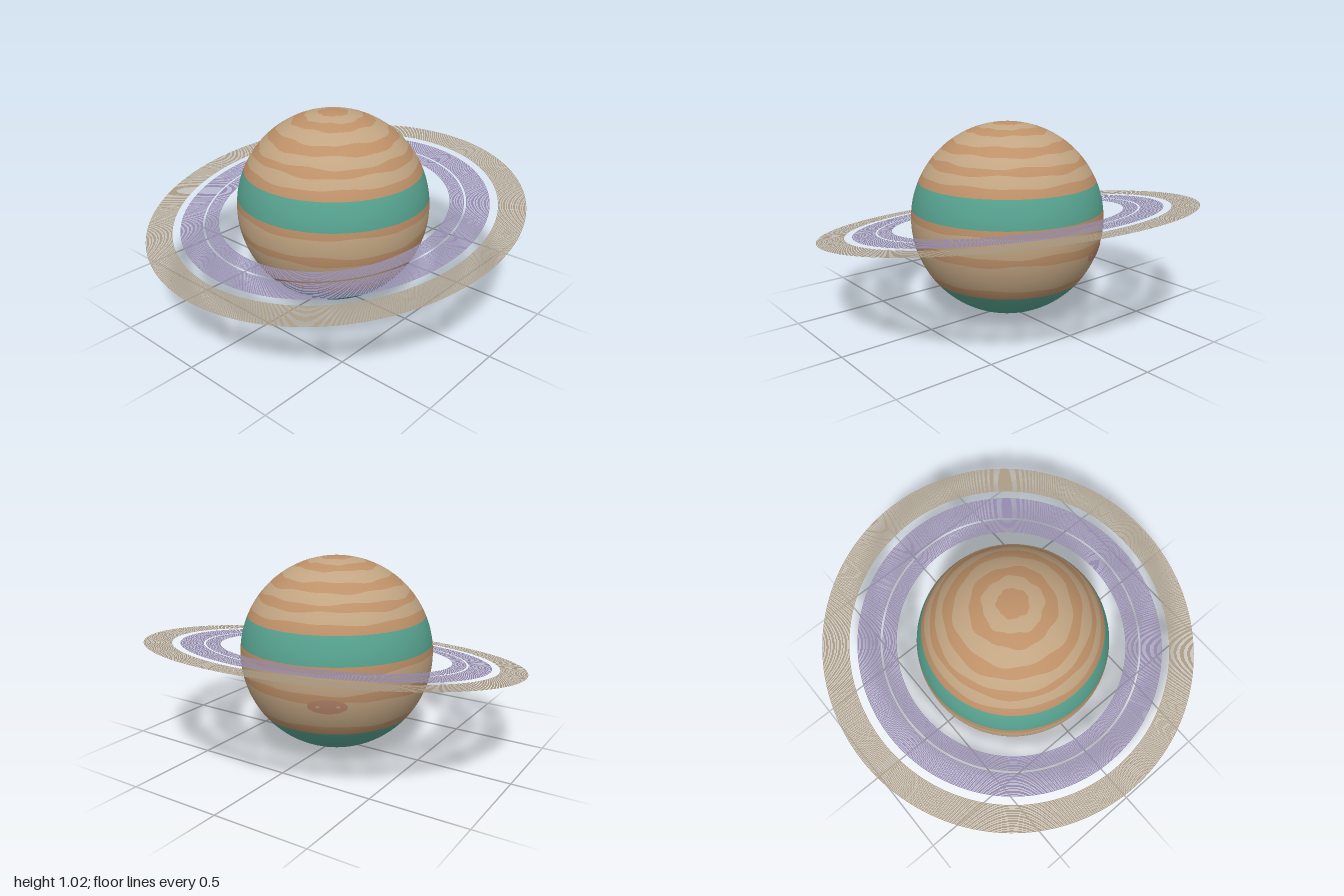
import * as THREE from 'three';

const R = 0.512;        // planet radius, resting on y = 0
const TILT = 0.16;      // ring plane leans up towards +x
const TEAL = 0x57a28f, SAND = 0xc2a582, RUST = 0xbd9068;

// Cloud bands from north to south: [name, colour, height of the lower edge, waviness]
const BANDS = [
  ['polarCap', RUST, 1.018, 0.012],
  ['paleBand', SAND, 1.002, 0.02],
  ['rustBand', RUST, 0.978, 0.02],
  ['paleBand', SAND, 0.935, 0.02],
  ['rustBand', RUST, 0.895, 0.02],
  ['paleBand', SAND, 0.85, 0.02],
  ['rustBand', RUST, 0.815, 0.02],
  ['paleBand', SAND, 0.765, 0.015],
  ['rustBand', RUST, 0.72, 0],
  ['tealBelt', TEAL, 0.578, 0],
  ['rustBand', RUST, 0.54, 0.015],
  ['paleBand', SAND, 0.44, 0.02],
  ['rustBand', RUST, 0.395, 0.02],
  ['paleBand', SAND, 0.25, 0.015],
  ['rustBand', RUST, 0.2, 0],
  ['tealSouthCap', TEAL, 0, 0],
];

// Rings: [name, colour, inner radius, outer radius]
const RINGS = [
  ['innerRing', 0x9389ac, 0.615, 0.69],
  ['middleRing', 0x9389ac, 0.7, 0.82],
  ['outerRing', 0xa99a84, 0.86, 1.0],
];

const onSphere = (theta, lon, r = R) => new THREE.Vector3(
  -r * Math.cos(lon) * Math.sin(theta), r * Math.cos(theta), r * Math.sin(lon) * Math.sin(theta));

// Polar angle of a band edge, rippling gently with longitude
const edgeAngle = (edge, lon) => edge.theta
  + edge.wave * (Math.sin(5 * lon + edge.phase) + 0.6 * Math.sin(11 * lon + 2 * edge.phase)) * 0.6;

function bandMesh([name, color], top, bottom) {
  const rows = Math.max(2, Math.ceil((bottom.theta - top.theta) / 0.05));
  const geo = new THREE.SphereGeometry(R, 96, rows, 0, Math.PI * 2, top.theta, bottom.theta - top.theta);
  const { position, normal, uv } = geo.attributes;
  for (let i = 0; i < position.count; i++) {
    const lon = uv.getX(i) * Math.PI * 2;
    const theta = THREE.MathUtils.lerp(edgeAngle(top, lon), edgeAngle(bottom, lon), 1 - uv.getY(i));
    const p = onSphere(theta, lon);
    position.setXYZ(i, p.x, p.y, p.z);
    p.normalize();
    normal.setXYZ(i, p.x, p.y, p.z);
  }
  const mesh = new THREE.Mesh(geo, new THREE.MeshStandardMaterial({ color }));
  mesh.name = name;
  return mesh;
}

// Oval storm laid on the sphere
function stormMesh() {
  const geo = new THREE.CircleGeometry(1, 32);
  const { position, normal } = geo.attributes;
  for (let i = 0; i < position.count; i++) {
    const p = onSphere(1.84 - position.getY(i) * 0.08, Math.PI + 0.48 + position.getX(i) * 0.2, R + 0.002);
    position.setXYZ(i, p.x, p.y, p.z);
    p.normalize();
    normal.setXYZ(i, p.x, p.y, p.z);
  }
  const mesh = new THREE.Mesh(geo, new THREE.MeshStandardMaterial({ color: 0xb5856a, side: THREE.DoubleSide }));
  mesh.name = 'stormSpot';
  return mesh;
}

// A ring made of many fine, flat, concentric strands
function ringGroup([name, color, inner, outer]) {
  const group = new THREE.Group();
  group.name = name;
  const material = new THREE.MeshStandardMaterial({ color, side: THREE.DoubleSide });
  const count = Math.round((outer - inner) / 0.006);
  const pitch = (outer - inner) / count;
  for (let i = 0; i < count; i++) {
    const r = outer - i * pitch;
    const geo = new THREE.RingGeometry(r - pitch * 0.75, r, 160);
    geo.rotateX(-Math.PI / 2);
    const strand = new THREE.Mesh(geo, material);
    strand.name = 'strand';
    group.add(strand);
  }
  return group;
}

export function createModel() {
  const model = new THREE.Group();
  model.name = 'ringedPlanet';

  // Planet
  const planet = new THREE.Group();
  planet.name = 'planet';
  planet.position.y = R;
  let top = { theta: 0, wave: 0, phase: 0 };
  BANDS.forEach((band, i) => {
    const theta = Math.acos(Math.max(-1, (band[2] - R) / R));
    const bottom = { theta, wave: band[3], phase: i * 1.9 };
    planet.add(bandMesh(band, top, bottom));
    top = bottom;
  });
  planet.add(stormMesh());
  model.add(planet);

  // Tilted ring system
  const rings = new THREE.Group();
  rings.name = 'rings';
  rings.position.y = R;
  rings.rotation.z = TILT;
  RINGS.forEach((ring) => rings.add(ringGroup(ring)));
  model.add(rings);

  return model;
}
